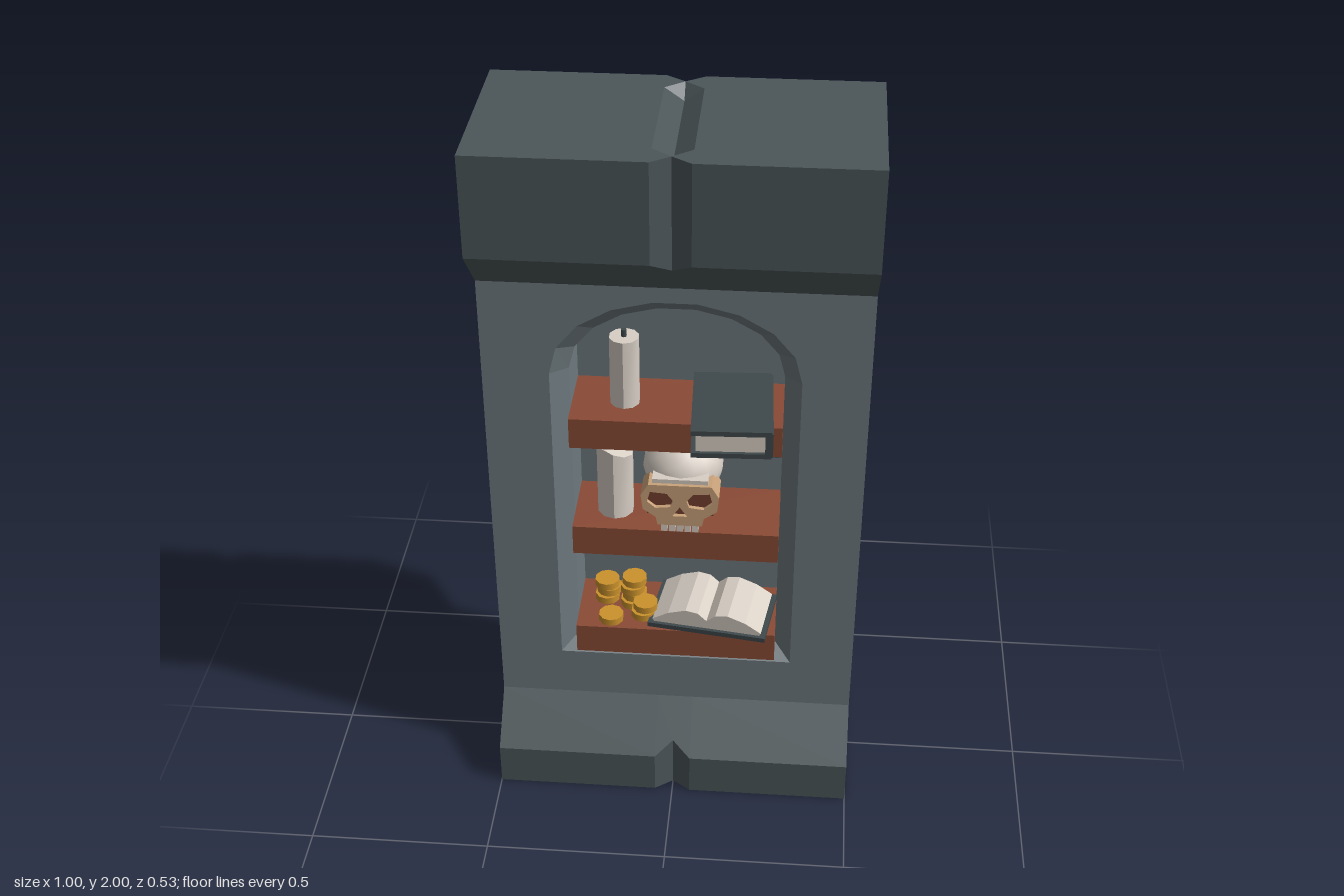
import * as THREE from 'three';

const mat = (name, color, side = THREE.FrontSide) => {
  const m = new THREE.MeshStandardMaterial({ color, side });
  m.name = name;
  return m;
};

export function createModel() {
  const group = new THREE.Group();
  const darkStone = mat('dark stone', 0x4c5659, THREE.DoubleSide);
  const stone = mat('grey stone', 0x6e797e, THREE.DoubleSide);
  const wood = mat('red wood', 0x8a4b36);
  const ivory = mat('ivory', 0xd8cfc5);
  const tan = mat('tan bone', 0xc9a27a);
  const socket = mat('socket brown', 0x75402f);
  const gold = mat('gold', 0xcb922c);
  const leather = mat('dark leather', 0x3f494c);

  const add = (name, geo, material, x = 0, y = 0, z = 0, parent = group) => {
    const mesh = new THREE.Mesh(geo, material);
    mesh.name = name;
    mesh.position.set(x, y, z);
    parent.add(mesh);
    return mesh;
  };
  const box = (w, h, d) => new THREE.BoxGeometry(w, h, d);
  const shapeOf = (pts) => new THREE.Shape(pts.map(([x, y]) => new THREE.Vector2(x, y)));
  const faces = (tris) => {
    const g = new THREE.BufferGeometry();
    g.setAttribute('position', new THREE.Float32BufferAttribute(tris.flat(), 3));
    g.computeVertexNormals();
    return g;
  };
  // Flat-shaded skin through closed rings of [x, y, z] points
  const loft = (rings) => {
    const tris = [];
    for (let r = 0; r < rings.length - 1; r++) {
      const a = rings[r], b = rings[r + 1];
      a.forEach((p, i) => {
        const j = (i + 1) % a.length;
        tris.push(p, a[j], b[j], p, b[j], b[i]);
      });
    }
    return faces(tris);
  };

  // Flared stone ends with a V notch at front and back
  const F = 0.235, B = -0.265, N = 0.035;
  const ring = (f, b, n, y, yn) => [
    [-0.5, y, f], [-0.05, y, f], [0, yn, f - n], [0.05, y, f], [0.5, y, f],
    [0.5, y, b], [0.05, y, b], [0, yn, b + n], [-0.05, y, b], [-0.5, y, b]];
  const flare = (name, y0, y1, y2, yn) => add(name, loft([
    ring(0.11, -0.14, 0, y0, y0), ring(F, B, N, y1, yn), ring(F, B, N, y2, y2)]), darkStone);
  flare('cap', 1.6, 1.73, 2, 1.7);
  flare('base', 0.25, 0.125, 0, 0.16);

  // Cap top: two halves around a sunken V groove
  for (const s of [-1, 1]) {
    const half = new THREE.ShapeGeometry(shapeOf([
      [s * 0.5, -F], [s * 0.05, -F], [0, -F + N], [s * 0.05, -0.16],
      [s * 0.05, 0.19], [0, -B - N], [s * 0.05, -B], [s * 0.5, -B]]));
    half.rotateX(-Math.PI / 2);
    add('capTop', half, darkStone, 0, 2, 0);
    const a = [s * 0.05, 2, 0.16], b = [s * 0.05, 2, -0.19];
    const c = [0, 1.965, 0.16], d = [0, 1.965, -0.19];
    add('capGroove', faces([a, c, d, a, d, b, [0, 2, F - N], c, a, [0, 2, B + N], b, d]), darkStone);
  }

  // Column with an arched niche
  const arch = (w, yb, ys, rise) => {
    const pts = [[w, yb]];
    for (let i = 0; i <= 9; i++) {
      const t = (i / 9) * Math.PI;
      pts.push([w * Math.cos(t), ys + rise * Math.sin(t)]);
    }
    pts.push([-w, yb]);
    return pts;
  };
  const outer = arch(0.325, 0.4, 1.335, 0.225), inner = arch(0.28, 0.435, 1.325, 0.19);
  const wall = shapeOf([[-0.5, 0.25], [0.5, 0.25], [0.5, 1.6], [-0.5, 1.6]]);
  wall.holes.push(shapeOf(outer));
  add('column', new THREE.ExtrudeGeometry(wall, { depth: 0.21, bevelEnabled: false }), stone, 0, 0, -0.1);
  add('columnBack', box(1, 1.35, 0.04), stone, 0, 0.925, -0.12);
  const at = (pts, z) => pts.map(([x, y]) => [x, y, z]);
  add('nicheLining', loft([at(outer, 0.11), at(inner, 0.06), at(inner, -0.1)]), stone);

  // Raised bricks with bevelled faces and clipped corners
  const brick = (x, y, z, w, h) => {
    const a = w / 2 - 0.02, b = h / 2 - 0.02, c = 0.025;
    const s = shapeOf([[-a + c, -b], [a - c, -b], [a, -b + c], [a, b - c],
      [a - c, b], [-a + c, b], [-a, b - c], [-a, -b + c]]);
    const g = new THREE.ExtrudeGeometry(s, {
      depth: 0.02, bevelThickness: 0.02, bevelSize: 0.02, bevelSegments: 1 });
    return add('brick', g, stone, x, y, z);
  };
  for (const [x, y] of [[0.03, 1.445], [-0.16, 1.28], [0.055, 0.695], [-0.255, 0.695], [-0.065, 0.525]])
    brick(x, y, -0.14, 0.285, 0.155).rotation.y = Math.PI;
  brick(-0.19, 0.68, -0.11, 0.21, 0.13);
  brick(0.2, 1.03, -0.11, 0.22, 0.13);

  // Shelves
  for (const y of [0.455, 0.805, 1.155]) add('shelf', box(0.56, 0.09, 0.215), wood, 0, y, 0.0075);

  // Candles; the lower one has a slanted top
  const candle = (x, y, z, r, h, slant) => {
    const g = new THREE.CylinderGeometry(r, r, h, 10);
    const p = g.attributes.position;
    for (let i = 0; i < p.count; i++)
      if (p.getY(i) > 0) p.setY(i, p.getY(i) - slant * (p.getX(i) / r + 1));
    g.computeVertexNormals();
    add('candle', g, ivory, x, y + h / 2, z);
    add('wick', new THREE.CylinderGeometry(0.008, 0.008, 0.04, 6), leather, x, y + h - slant, z);
  };
  candle(-0.14, 1.2, 0.015, 0.04, 0.2, 0);
  candle(-0.17, 0.85, 0.02, 0.05, 0.23, 0.02);

  // Closed book, spine to the right
  const book = new THREE.Group();
  book.name = 'closedBook';
  book.position.set(0.148, 1.2, 0.12);
  book.rotation.y = 0.04;
  group.add(book);
  for (const y of [0.007, 0.073]) add('bookCover', box(0.205, 0.014, 0.28), leather, 0, y, 0, book);
  add('bookSpine', box(0.02, 0.07, 0.28), leather, 0.096, 0.04, 0, book);
  add('bookPages', box(0.18, 0.054, 0.262), ivory, 0, 0.04, 0, book);

  // Open book with two curved page blocks
  const open = new THREE.Group();
  open.name = 'openBook';
  open.position.set(0.1, 0.5, 0.025);
  open.rotation.y = -0.14;
  group.add(open);
  for (const s of [-1, 1]) {
    const pages = shapeOf([[0, 0.012], [s * 0.15, 0.012], [s * 0.155, 0.022], [s * 0.11, 0.05],
      [s * 0.06, 0.067], [s * 0.025, 0.062], [0, 0.04]]);
    add('openPages', new THREE.ExtrudeGeometry(pages, { depth: 0.18, bevelEnabled: false }),
      ivory, 0, 0, -0.09, open);
  }
  add('openCover', box(0.335, 0.014, 0.2), leather, 0, 0.007, 0, open);

  // Coin stacks
  const coin = new THREE.CylinderGeometry(0.035, 0.035, 0.021, 10);
  for (const [x, z, n] of [[-0.205, -0.02, 3], [-0.13, 0, 4], [-0.095, 0.05, 2], [-0.185, 0.075, 1]])
    for (let i = 0; i < n; i++)
      add('coin', coin, gold, x + (i % 2) * 0.005, 0.511 + i * 0.025, z - (i % 2) * 0.004);

  // Skull: faceted cranium, face plate with holes, dark sockets, teeth
  const skull = new THREE.Group();
  skull.name = 'skull';
  skull.position.set(0.013, 0.85, 0);
  group.add(skull);
  const cranium = new THREE.IcosahedronGeometry(1, 2);
  cranium.scale(0.11, 0.098, 0.115);
  add('cranium', cranium, ivory, 0, 0.145, -0.01, skull);
  const face = shapeOf([[-0.06, 0.025], [0.06, 0.025], [0.065, 0.05], [0.1, 0.075], [0.105, 0.12],
    [0.085, 0.155], [-0.085, 0.155], [-0.105, 0.12], [-0.1, 0.075], [-0.065, 0.05]]);
  for (const s of [-1, 1])
    face.holes.push(shapeOf([[s * 0.025, 0.085], [s * 0.065, 0.08], [s * 0.088, 0.1],
      [s * 0.08, 0.132], [s * 0.035, 0.128], [s * 0.018, 0.105]]));
  face.holes.push(shapeOf([[-0.02, 0.055], [0.02, 0.055], [0, 0.085]]));
  add('face', new THREE.ExtrudeGeometry(face, { depth: 0.085, bevelEnabled: false }), tan, 0, 0, 0.035, skull);
  add('sockets', box(0.18, 0.085, 0.008), socket, 0, 0.095, 0.104, skull);
  add('brow', box(0.15, 0.025, 0.04), ivory, 0, 0.155, 0.09, skull);
  for (let i = 0; i < 5; i++) add('tooth', box(0.017, 0.024, 0.02), ivory, -0.042 + i * 0.021, 0.015, 0.108, skull);

  return group;
}
